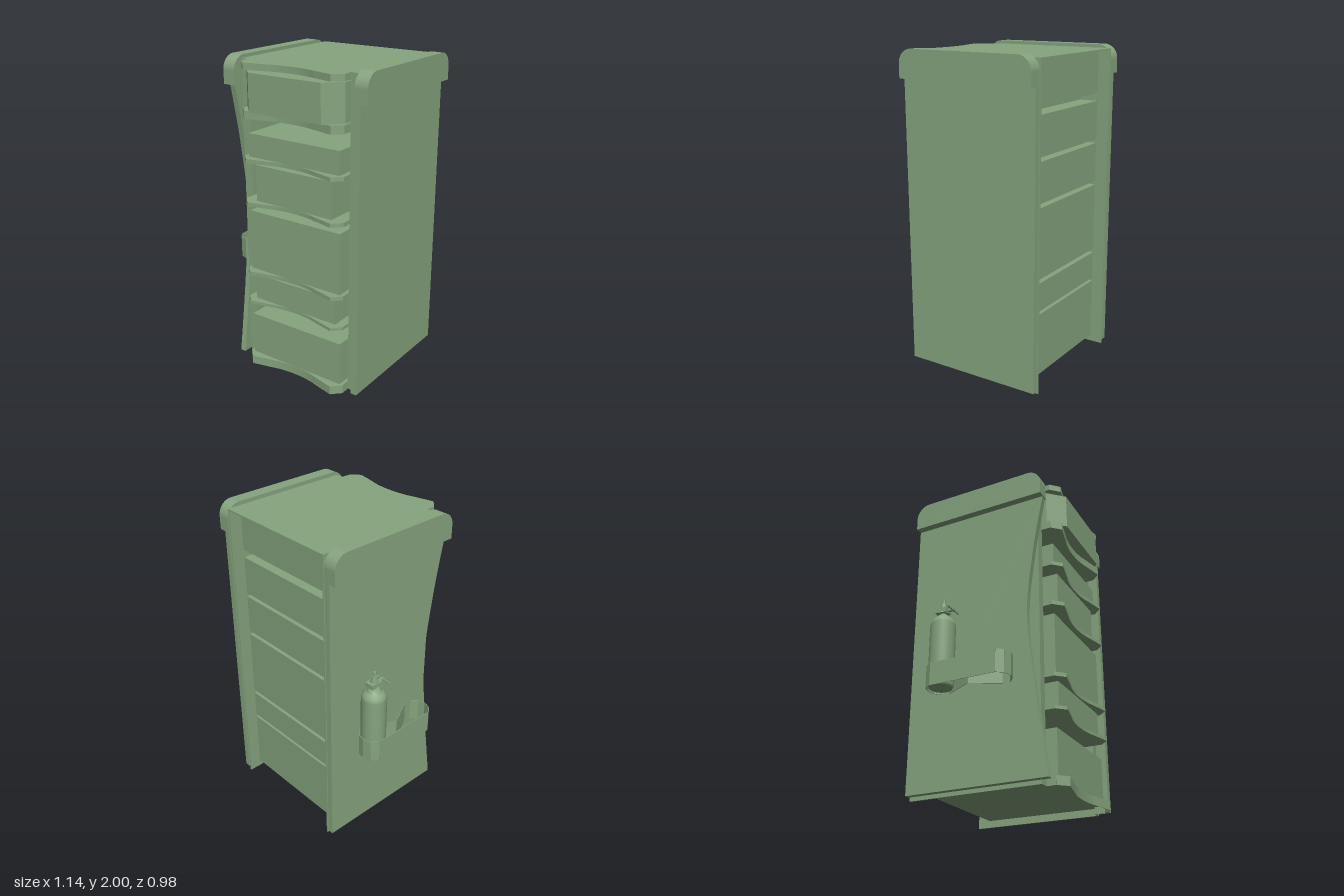
import * as THREE from 'three';

const material = new THREE.MeshStandardMaterial({ color: 0x86a47e });

const CENTRE = 0.061; // middle of the shelf unit in x
const PANEL_BACK = -0.41;
const PANEL_FRONT = -0.29;

export function createModel() {
  const root = new THREE.Group();

  const add = (name, geometry, parent = root) => {
    const mesh = new THREE.Mesh(geometry, material);
    mesh.name = name;
    parent.add(mesh);
    return mesh;
  };

  // box given by its limits on each axis
  const block = (name, x0, x1, y0, y1, z0, z1, parent) =>
    add(name, new THREE.BoxGeometry(x1 - x0, y1 - y0, z1 - z0), parent)
      .position.set((x0 + x1) / 2, (y0 + y1) / 2, (z0 + z1) / 2);

  // plan outline (x, -z) raised from y0 to y1
  const slab = (name, shape, y0, y1) => {
    const g = new THREE.ExtrudeGeometry(shape, { depth: y1 - y0, bevelEnabled: false, curveSegments: 16 });
    add(name, g.rotateX(-Math.PI / 2).translate(0, y0, 0));
  };

  // side outline (-z, y) extended from x0 to x1
  const sheet = (name, shape, x0, x1) => {
    const g = new THREE.ExtrudeGeometry(shape, { depth: x1 - x0, bevelEnabled: false, curveSegments: 12 });
    add(name, g.rotateY(Math.PI / 2).translate(x0, 0, 0));
  };

  // thin upright strip along plan points (x, z)
  const band = (name, points, y0, y1) => {
    const group = new THREE.Group();
    group.name = name;
    root.add(group);
    for (let i = 1; i < points.length; i++) {
      const [ax, az] = points[i - 1], [bx, bz] = points[i];
      const g = new THREE.BoxGeometry(Math.hypot(bx - ax, bz - az), y1 - y0, 0.004);
      const strip = add(name, g, group);
      strip.position.set((ax + bx) / 2, (y0 + y1) / 2, (az + bz) / 2);
      strip.rotation.y = -Math.atan2(bz - az, bx - ax);
    }
  };

  // Shelves with chamfered corners and a hollowed front edge
  const shelfShape = (back) => {
    const s = new THREE.Shape();
    s.moveTo(-0.305, -back);
    s.lineTo(-0.305, -0.42);
    s.lineTo(-0.25, -0.475);
    s.lineTo(-0.11, -0.442);
    s.bezierCurveTo(-0.02, -0.412, 0.14, -0.412, 0.23, -0.442);
    s.lineTo(0.37, -0.475);
    s.lineTo(0.425, -0.42);
    s.lineTo(0.425, -back);
    return s;
  };
  const shelves = [[0.44, 0.46], [0.64, 0.665], [1.105, 1.13], [1.38, 1.405], [1.65, 1.7]];
  shelves.forEach(([y0, y1]) => slab('shelf', shelfShape(PANEL_FRONT), y0, y1));
  slab('topBoard', shelfShape(PANEL_FRONT), 1.94, 1.98);
  block('topSkin', -0.36, 0.477, 1.97, 1.98, -0.49, PANEL_FRONT);

  // Bottom board, open underneath inside a thin rim
  slab('bottomBoard', shelfShape(0.35), 0.045, 0.055);
  block('bottomBoard', -0.355, 0.472, 0.045, 0.055, PANEL_BACK, 0.355);
  band('bottomRim', shelfShape(0.36).getPoints(12).map((p) => [p.x, -p.y]), 0, 0.055);

  // Unit walls: outer skin, inner lining and front post on each side
  for (const [outer, inner] of [[-0.36, -0.305], [0.477, 0.425]]) {
    const wall = (name, a, b, y0, y1, z0, z1) =>
      block(name, Math.min(a, b), Math.max(a, b), y0, y1, z0, z1);
    const skin = outer - Math.sign(outer) * 0.01;
    wall('wallSkin', outer, skin, 0, 1.98, -0.49, 0.36);
    wall('wallLining', skin, inner, 0.05, 1.98, PANEL_FRONT, 0.355);
    wall('frontPost', skin, inner, 0, 1.98, 0.35, 0.36);
  }

  // Recessed back panels with a slot at each shelf
  const edges = [0.055, ...shelves.flat(), 1.975];
  for (let i = 0; i < edges.length; i += 2) {
    block('backPanel', -0.355, 0.472, edges[i], edges[i + 1], PANEL_BACK, PANEL_FRONT);
  }

  // Storage boxes: half width, bottom, top
  [[0.333, 1.405, 1.55], [0.28, 1.13, 1.36], [0.338, 0.665, 1.055], [0.308, 0.46, 0.628], [0.343, 0.055, 0.335]]
    .forEach(([w, y0, y1]) => block('storageBox', CENTRE - w, CENTRE + w, y0, y1, PANEL_FRONT, 0.42));

  // Top box with cut front corners
  const bin = new THREE.Shape([
    [-0.295, 0.29], [-0.295, -0.39], [-0.2, -0.49], [0.317, -0.49], [0.41, -0.39], [0.41, 0.29],
  ].map(([x, y]) => new THREE.Vector2(x, y)));
  slab('topBox', bin, 1.7, 1.93);

  // Outer side panels: one plain, one with a hollowed front edge
  block('leftPanel', 0.487, 0.527, 0.022, 1.85, -0.49, 0.42);
  const hollow = new THREE.Shape();
  hollow.moveTo(0.49, 0.022);
  hollow.lineTo(0.49, 1.85);
  hollow.lineTo(-0.42, 1.85);
  hollow.splineThru([[-0.345, 1.45], [-0.3, 1.02], [-0.345, 0.55], [-0.42, 0.022]]
    .map(([x, y]) => new THREE.Vector2(x, y)));
  sheet('rightPanel', hollow, -0.405, -0.368);

  // Rounded caps on the side panels
  const cap = new THREE.Shape();
  cap.moveTo(-0.42, 1.825);
  cap.lineTo(0.49, 1.825);
  cap.lineTo(0.49, 1.91);
  cap.absarc(0.4, 1.91, 0.09, 0, Math.PI / 2, false);
  cap.lineTo(-0.33, 2);
  cap.absarc(-0.33, 1.91, 0.09, Math.PI / 2, Math.PI, false);
  sheet('leftCap', cap, 0.487, 0.572);
  sheet('rightCap', cap, -0.451, -0.366);

  // Thin band holder on the right panel, with a folded divider
  band('holderBand', [
    [-0.405, -0.26], [-0.445, -0.298], [-0.49, -0.308], [-0.54, -0.295], [-0.571, -0.25],
    [-0.571, 0.18], [-0.54, 0.22], [-0.49, 0.237], [-0.445, 0.225], [-0.405, 0.19],
  ], 0.607, 0.75);
  band('holderDivider', [[-0.405, -0.215], [-0.5, -0.035], [-0.405, 0.14]], 0.607, 0.75);

  // Pressure bottle
  const bottle = new THREE.Group();
  bottle.name = 'bottle';
  bottle.position.set(-0.49, 0, -0.225);
  root.add(bottle);
  const profile = [
    [0, 0.612], [0.068, 0.612], [0.078, 0.63], [0.078, 1.02], [0.073, 1.043],
    [0.058, 1.06], [0.034, 1.068], [0.034, 1.085], [0, 1.085],
  ].map(([r, y]) => new THREE.Vector2(r, y));
  add('bottleBody', new THREE.LatheGeometry(profile, 24), bottle);

  // Valve, handle and outlet
  const stack = [[0.02, 1.085, 1.1], [0.036, 1.1, 1.112], [0.028, 1.112, 1.15], [0.02, 1.15, 1.17], [0.011, 1.17, 1.2]];
  for (const [r, y0, y1] of stack) {
    add('valve', new THREE.CylinderGeometry(r * 0.85, r, y1 - y0, 12), bottle)
      .position.y = (y0 + y1) / 2;
  }
  block('valveBlock', -0.03, 0.03, 1.105, 1.135, -0.045, 0.035, bottle);
  block('valveStem', -0.008, 0.008, 1.112, 1.128, 0.03, 0.075, bottle);
  block('handle', -0.065, 0.065, 1.114, 1.124, 0.062, 0.07, bottle);

  return root;
}
